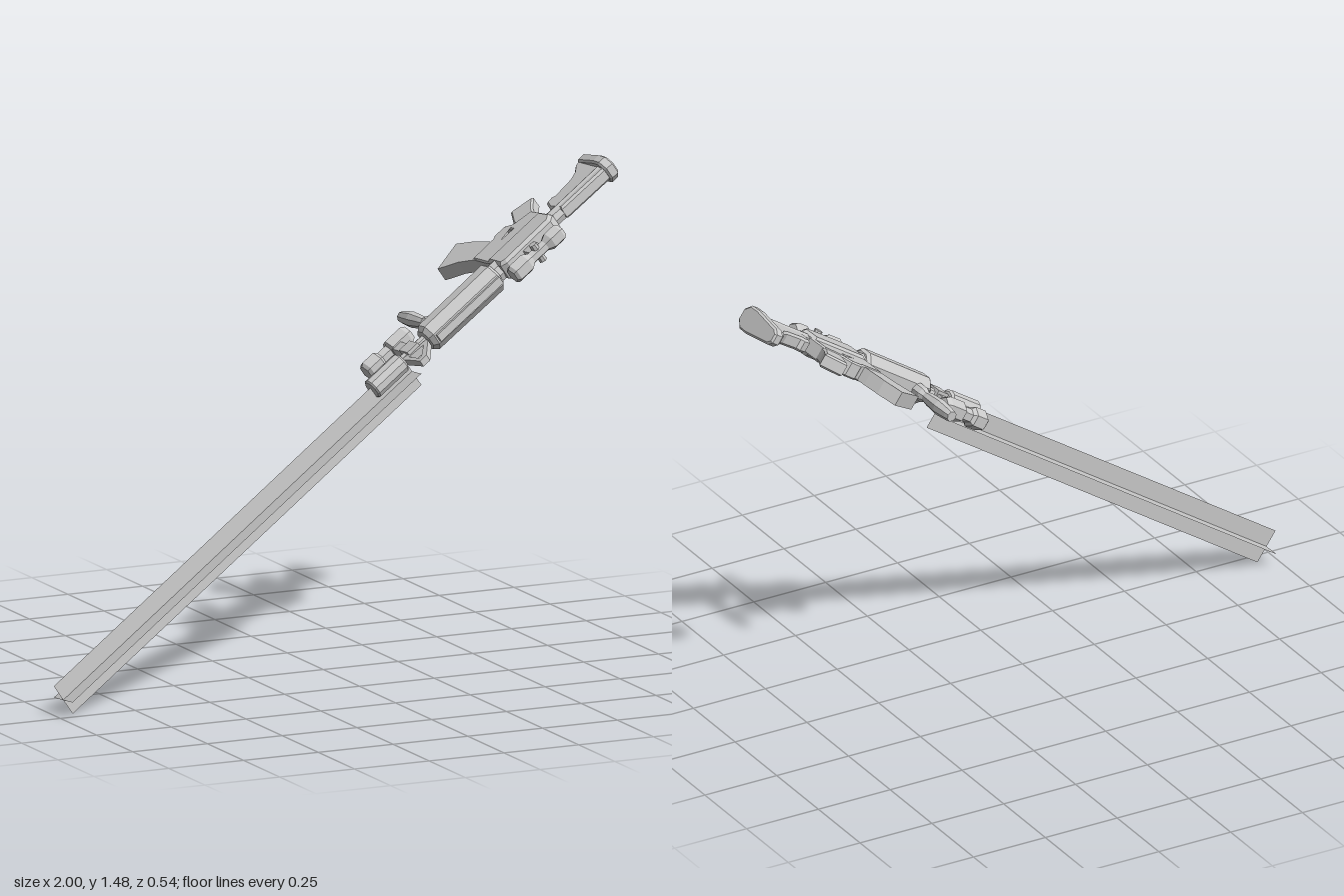
import * as THREE from 'three';

const mat = new THREE.MeshStandardMaterial({ color: 0xcccccc, flatShading: true });
const thin = new THREE.MeshStandardMaterial({ color: 0xcccccc, side: THREE.DoubleSide });

// Local frame: +x runs from muzzle to butt, +y is the rifle's top, z is its width.
function add(parent, name, geo, x = 0, y = 0, z = 0, material = mat) {
  const m = new THREE.Mesh(geo, material);
  m.name = name;
  m.position.set(x, y, z);
  parent.add(m);
  return m;
}

// Side outline extruded over a centred width
function slab(pts, width, bevel = 0, hole) {
  const s = new THREE.Shape(pts.map(p => new THREE.Vector2(...p)));
  if (hole) s.holes.push(new THREE.Path(hole.map(p => new THREE.Vector2(...p))));
  const depth = width - 2 * bevel;
  return new THREE.ExtrudeGeometry(s, {
    depth, bevelEnabled: bevel > 0, bevelSize: bevel, bevelOffset: -bevel,
    bevelThickness: bevel, bevelSegments: 1
  }).translate(0, 0, -depth / 2);
}

// Solid turned around the x axis from [x, radius] pairs
function turned(profile, sides) {
  const p = profile.map(([x, r]) => new THREE.Vector2(r, x));
  p.unshift(new THREE.Vector2(0, profile[0][0]));
  p.push(new THREE.Vector2(0, profile[profile.length - 1][0]));
  return new THREE.LatheGeometry(p, sides).rotateZ(-Math.PI / 2);
}

export function createModel() {
  const root = new THREE.Group();
  const pose = new THREE.Group();
  pose.name = 'tiltedRifle';
  root.add(pose);

  // Lying on its side, muzzle low and butt high
  const d = new THREE.Vector3(0.818, 0.567, -0.102).normalize();
  const w = new THREE.Vector3(0.57, -0.822, 0).normalize();
  const u = new THREE.Vector3().crossVectors(w, d).normalize();
  w.crossVectors(d, u);
  pose.quaternion.setFromRotationMatrix(new THREE.Matrix4().makeBasis(d, u, w));
  pose.position.set(0.27, 0.909, 0.055);

  // Two crossed flat sheets ahead of the muzzle
  for (const [name, turn] of [['beamUpright', 0], ['beamFlat', Math.PI / 2]]) {
    add(pose, name, new THREE.PlaneGeometry(1.518, 0.111).rotateX(turn), -0.759, 0, 0, thin);
  }

  const gun = new THREE.Group();
  gun.name = 'rifle';
  gun.position.z = -0.047;
  pose.add(gun);

  // Barrel, suppressor and handguard
  add(gun, 'suppressor', turned([[-0.14, 0.028], [-0.135, 0.033], [-0.015, 0.033], [-0.008, 0.026]], 10));
  add(gun, 'barrel', turned([[-0.01, 0.017], [0.11, 0.017]], 8));
  add(gun, 'gasBlock', new THREE.BoxGeometry(0.045, 0.05, 0.044), 0.035, 0, 0);
  add(gun, 'handguard', turned([[0.09, 0.036], [0.105, 0.048], [0.38, 0.05], [0.39, 0.04]], 8).rotateX(Math.PI / 8), 0, 0.006, 0);
  add(gun, 'topRail', new THREE.BoxGeometry(0.27, 0.012, 0.025), 0.245, 0.054, 0);
  add(gun, 'barrelNut', turned([[0.38, 0.034], [0.43, 0.034]], 8));

  // Triangular front sight
  add(gun, 'frontSight', slab(
    [[-0.01, 0.012], [0.085, 0.025], [0.085, 0.037], [0.03, 0.103], [0.002, 0.103]], 0.022, 0,
    [[0.006, 0.032], [0.012, 0.085], [0.022, 0.085], [0.064, 0.04]]));

  // Light slung under the barrel
  add(gun, 'light', turned([[-0.085, 0.026], [-0.075, 0.034], [-0.03, 0.034], [-0.02, 0.023],
    [0.015, 0.023], [0.022, 0.034], [0.085, 0.034], [0.1, 0.026]], 6), 0, -0.108, 0);
  add(gun, 'lightMount', new THREE.BoxGeometry(0.035, 0.085, 0.024), 0.035, -0.055, 0);

  // Vertical foregrip
  const grip = [[0, -0.22], [0.017, -0.22], [0.02, -0.205], [0.025, -0.155], [0.02, -0.1],
    [0.017, -0.085], [0.024, -0.07], [0.024, -0.035], [0, -0.035]].map(p => new THREE.Vector2(...p));
  add(gun, 'foregrip', new THREE.LatheGeometry(grip, 8), 0.152, 0, 0);

  // Receiver with trigger guard opening
  add(gun, 'upperReceiver', slab(
    [[0.41, -0.04], [0.64, -0.04], [0.645, 0.025], [0.62, 0.048], [0.43, 0.052], [0.41, 0.04]], 0.068, 0.01));
  add(gun, 'lowerReceiver', slab(
    [[0.41, -0.02], [0.41, -0.128], [0.5, -0.13], [0.515, -0.14], [0.555, -0.138], [0.575, -0.11], [0.64, -0.092], [0.645, -0.02]],
    0.052, 0.005, [[0.51, -0.09], [0.555, -0.088], [0.552, -0.128], [0.515, -0.13]]));
  add(gun, 'trigger', slab([[0.53, -0.08], [0.542, -0.08], [0.532, -0.112], [0.526, -0.112]], 0.012));
  add(gun, 'magazine', slab(
    [[0.415, -0.1], [0.405, -0.13], [0.386, -0.18], [0.342, -0.243], [0.45, -0.281], [0.474, -0.215], [0.486, -0.16], [0.495, -0.1]], 0.046));
  add(gun, 'pistolGrip', slab(
    [[0.572, -0.085], [0.582, -0.125], [0.617, -0.188], [0.694, -0.16], [0.655, -0.11], [0.64, -0.08]], 0.046, 0.006));

  // Scope on a raised mount
  add(gun, 'scope', turned([[0.405, 0.024], [0.415, 0.032], [0.465, 0.032], [0.485, 0.019],
    [0.545, 0.019], [0.565, 0.03], [0.605, 0.03], [0.615, 0.023]], 6), 0, 0.092, 0);
  add(gun, 'scopeMount', new THREE.BoxGeometry(0.045, 0.05, 0.032), 0.515, 0.065, 0);
  add(gun, 'scopeDial', turned([[-0.032, 0.013], [0.032, 0.013]], 8).rotateY(Math.PI / 2), 0.515, 0.092, 0);

  // Stock with stepped underside and butt plate
  add(gun, 'bufferTube', turned([[0.63, 0.026], [0.87, 0.026]], 8));
  add(gun, 'stock', slab(
    [[0.68, 0.026], [0.67, -0.03], [0.685, -0.07], [0.71, -0.074], [0.722, -0.066], [0.79, -0.074],
      [0.82, -0.09], [0.845, -0.118], [0.87, -0.128], [0.87, 0.03]], 0.044, 0.007));
  const half = [[0.018, 0.037], [0.04, 0.014], [0.041, -0.02], [0.027, -0.122], [0.014, -0.138]];
  const plate = [...half, ...half.map(([x, y]) => [-x, y]).reverse()];
  add(gun, 'buttPlate', slab(plate, 0.036, 0.006).rotateY(Math.PI / 2), 0.88, 0, 0);

  return root;
}
